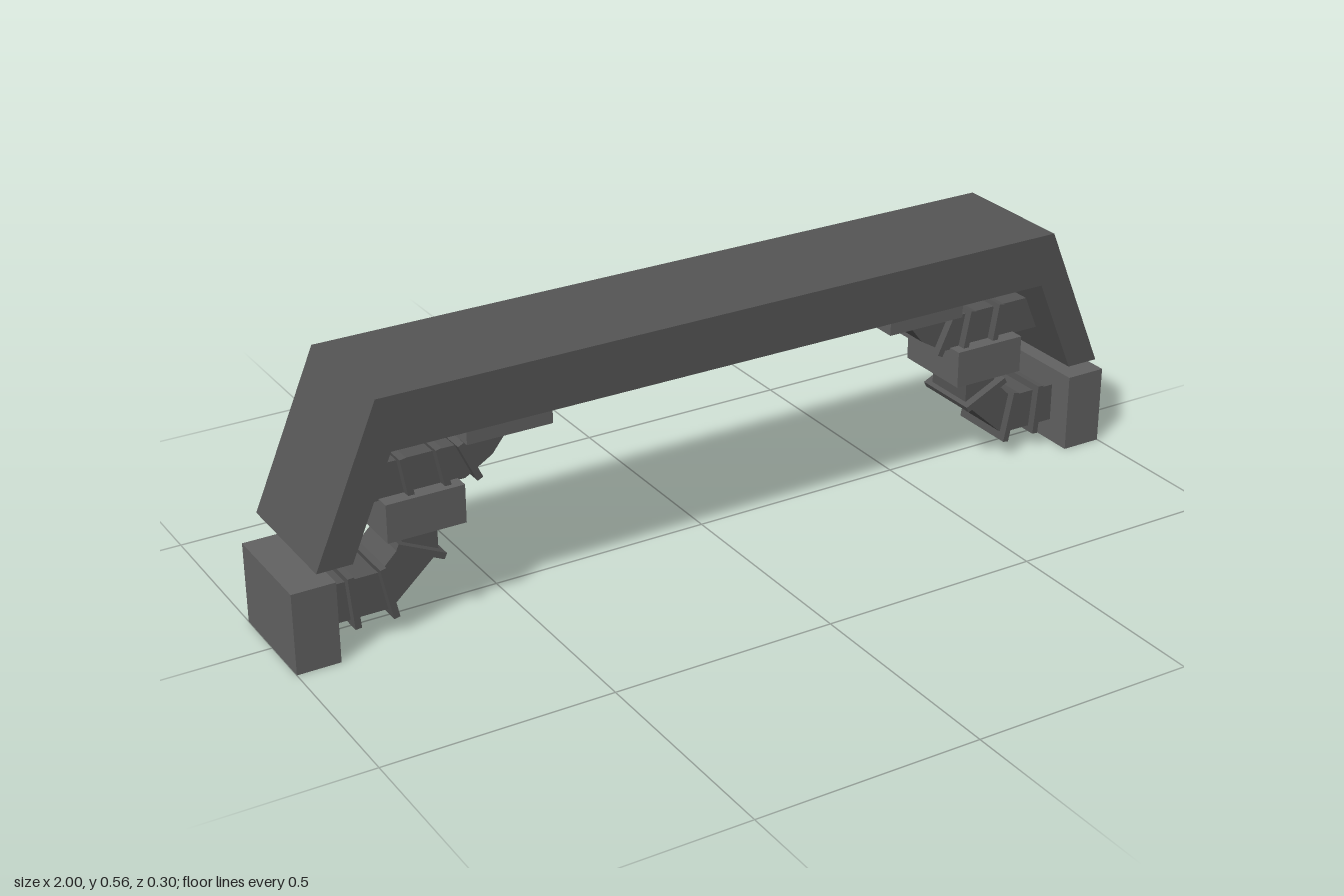
import * as THREE from 'three';

const darkGrey = new THREE.MeshStandardMaterial({ color: 0x555555, flatShading: true });
const midGrey = new THREE.MeshStandardMaterial({ color: 0x626262, flatShading: true });

// Extrudes a side outline symmetrically through the depth
function profile(name, points, depth, side = 1) {
  const shape = new THREE.Shape(points.map(([x, y]) => new THREE.Vector2(x * side, y)));
  const geometry = new THREE.ExtrudeGeometry(shape, { depth, bevelEnabled: false });
  geometry.translate(0, 0, -depth / 2);
  const mesh = new THREE.Mesh(geometry, darkGrey);
  mesh.name = name;
  return mesh;
}

// Box given by its x range, y range and depth
function block(name, x0, x1, y0, y1, depth, side) {
  const mesh = new THREE.Mesh(new THREE.BoxGeometry(x1 - x0, y1 - y0, depth), midGrey);
  mesh.position.set(side * (x0 + x1) / 2, (y0 + y1) / 2, 0);
  mesh.name = name;
  return mesh;
}

// Thin collar plate between two points of the side view
function flange([x0, y0], [x1, y1], depth, side) {
  const length = Math.hypot(x1 - x0, y1 - y0);
  const mesh = new THREE.Mesh(new THREE.BoxGeometry(0.014, length, depth), darkGrey);
  mesh.position.set(side * (x0 + x1) / 2, (y0 + y1) / 2, 0);
  mesh.rotation.z = Math.atan2(y1 - y0, side * (x1 - x0)) - Math.PI / 2;
  mesh.name = 'ductFlange';
  return mesh;
}

function createDucts(side) {
  const group = new THREE.Group();
  group.name = side > 0 ? 'leftDucts' : 'rightDucts';
  group.add(
    block('ceilingPad', 0.412, 0.604, 0.392, 0.446, 0.21, side),
    block('junctionBox', 0.607, 0.78, 0.217, 0.302, 0.19, side),
    block('endBlock', 0.905, 1, 0, 0.18, 0.244, side),
    // Upper elbow and horizontal run into the side wall
    profile('upperDuct', [
      [0.85, 0.376], [0.605, 0.376], [0.59, 0.394], [0.482, 0.394],
      [0.528, 0.335], [0.59, 0.298], [0.85, 0.298],
    ], 0.125, side),
    // Lower double elbow out to the end block
    profile('lowerDuct', [
      [0.738, 0.222], [0.735, 0.19], [0.785, 0.14], [0.91, 0.14],
      [0.91, 0.052], [0.765, 0.052], [0.657, 0.15], [0.657, 0.222],
    ], 0.125, side),
  );
  const collars = [
    [[0.732, 0.385], [0.717, 0.298]],
    [[0.654, 0.386], [0.636, 0.296]],
    [[0.606, 0.383], [0.566, 0.298]],
    [[0.754, 0.195], [0.65, 0.146]],
    [[0.787, 0.155], [0.763, 0.038]],
    [[0.857, 0.155], [0.847, 0.038]],
  ];
  for (const [a, b] of collars) group.add(flange(a, b, 0.163, side));
  return group;
}

export function createModel() {
  const model = new THREE.Group();
  model.name = 'overheadDuctBridge';
  // Bridge-shaped housing with slanted ends
  model.add(profile('housing', [
    [-0.955, 0.225], [-0.812, 0.56], [0.812, 0.56], [0.955, 0.225],
    [0.878, 0.225], [0.785, 0.443], [-0.785, 0.443], [-0.878, 0.225],
  ], 0.296));
  for (const side of [1, -1]) model.add(createDucts(side));
  return model;
}
